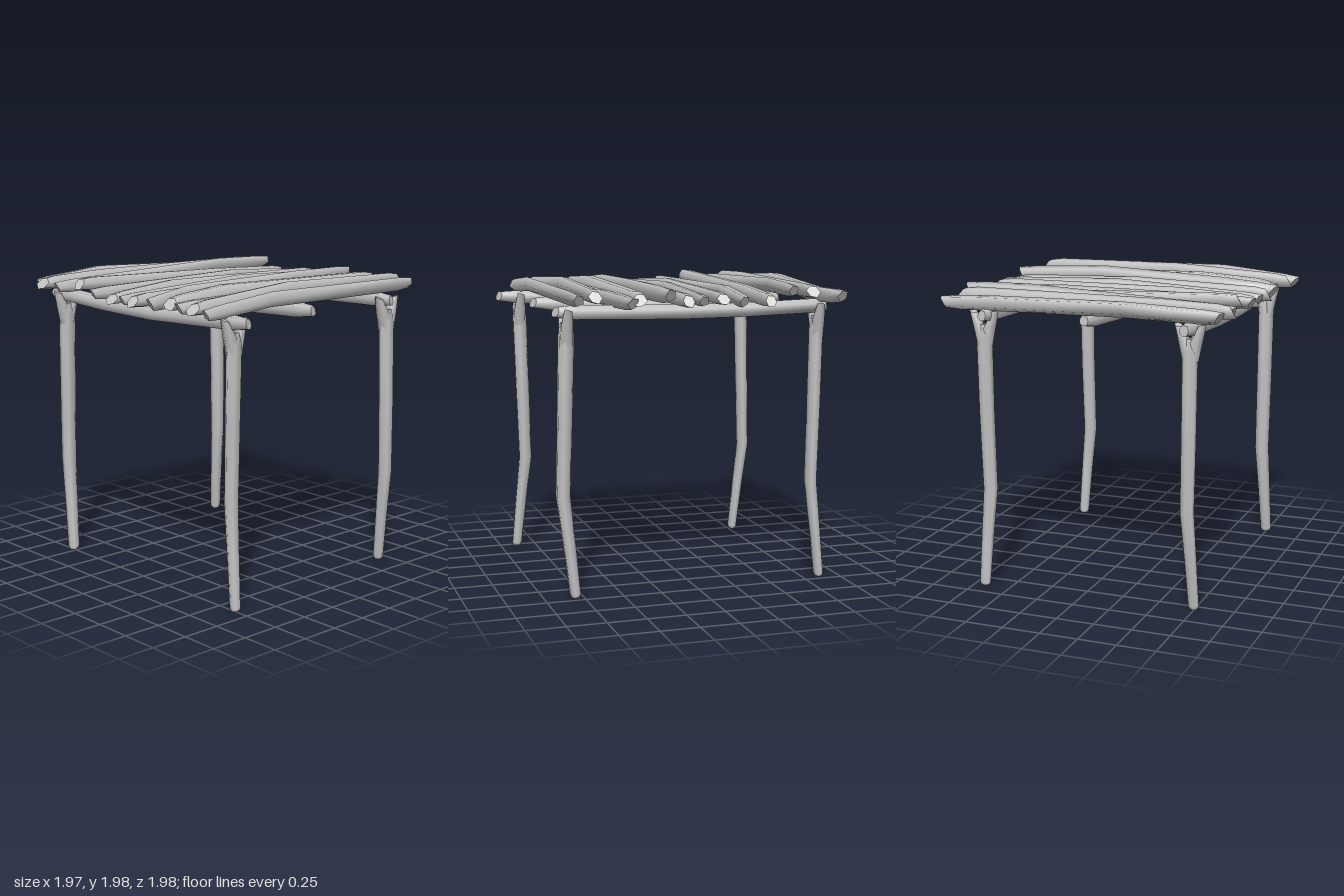
import * as THREE from 'three';

const wood = new THREE.MeshStandardMaterial({ color: 0xc2c2c2 });
wood.name = 'weathered wood';

// Rough pole through [x, y, z, radius] stations running in the + direction of axis (0 x, 1 y, 2 z).
// slant tilts the cut at the start and end; flat squeezes the pole across.
function pole(name, axis, stations, slant, sides, flat = 1) {
  const u = (axis + 1) % 3, v = (axis + 2) % 3;
  const pos = [], index = [], last = stations.length - 1;
  const ring = (i) => {
    const s = stations[i], pts = [];
    const tilt = i === 0 ? slant[0] : i === last ? slant[1] : 0;
    for (let j = 0; j < sides; j++) {
      const a = (j / sides) * Math.PI * 2 + 0.4;
      const r = s[3] * (1 + 0.1 * Math.sin(j * 2.3 + stations[0][2] * 9));
      const du = Math.cos(a) * r, dv = Math.sin(a) * r;
      const p = s.slice(0, 3);
      p[u] += axis === 1 ? du * flat : du;
      p[v] += axis === 2 ? dv * flat : dv;
      p[axis] += tilt * (du + 0.6 * dv);
      pts.push(p);
    }
    return pts;
  };
  // Smooth bark
  stations.forEach((s, i) => ring(i).forEach((p) => pos.push(...p)));
  for (let i = 0; i < last; i++) {
    for (let j = 0; j < sides; j++) {
      const a = i * sides + j, b = i * sides + (j + 1) % sides;
      index.push(a, b, a + sides, b, b + sides, a + sides);
    }
  }
  // Sharp cut ends with their own corners
  for (const i of [0, last]) {
    const c = pos.length / 3;
    pos.push(...stations[i].slice(0, 3));
    ring(i).forEach((p) => pos.push(...p));
    for (let j = 0; j < sides; j++) {
      const a = c + 1 + j, b = c + 1 + (j + 1) % sides;
      if (i) index.push(c, a, b); else index.push(c, b, a);
    }
  }
  const g = new THREE.BufferGeometry();
  g.setAttribute('position', new THREE.Float32BufferAttribute(pos, 3));
  g.setIndex(index);
  g.computeVertexNormals();
  const mesh = new THREE.Mesh(g, wood);
  mesh.name = name;
  return mesh;
}

// Crooked post that splits into two prongs holding a beam
function forkedPost(name, [x0, x1, x2], [z0, z1, z2]) {
  const post = new THREE.Group();
  post.name = name;
  post.add(pole('trunk', 1, [
    [x0, 0, z0, 0.028], [x0, 0.02, z0, 0.038], [(x0 + x1) / 2, 0.35, (z0 + z1) / 2, 0.043],
    [x1, 0.65, z1, 0.049], [x2, 1.15, (z1 + z2) / 2, 0.052], [x2, 1.66, z2, 0.054], [x2, 1.74, z2, 0.035],
  ], [0, 0], 7, 0.88));
  for (const s of [-1, 1]) {
    post.add(pole('prong', 1, [
      [x2 + s * 0.01, 1.6, z2, 0.042], [x2 + s * 0.035, 1.72, z2, 0.042], [x2 + s * 0.075, 1.82, z2, 0.026],
    ], [0, s * 0.3], 6));
  }
  return post;
}

// Sagging beam along z
function beam(name, x, drift, zBack, zFront, sag) {
  const stations = [0, 0.05, 0.3, 0.55, 0.93, 1].map((t, i, all) => {
    const end = i === 0 || i === all.length - 1;
    return [x + drift * t, 1.805 - sag * Math.sin(Math.PI * t), zBack + (zFront - zBack) * t, end ? 0.038 : 0.055];
  });
  return pole(name, 2, stations, [0.4, -0.4], 7, 0.85);
}

// Roof slats: shift in x, radius, z of both ends, y of both ends, then x, y, z of one or two bends
const slats = [
  [0, 0.054, -0.87, -0.9, 1.88, 1.88, -0.33, 1.91, -0.94, 0.58, 1.88, -0.845],
  [-0.05, 0.054, -0.76, -0.72, 1.9, 1.91, -0.5, 1.91, -0.765],
  [-0.01, 0.05, -0.655, -0.57, 1.88, 1.92, 0.45, 1.925, -0.605],
  [0.01, 0.047, -0.435, -0.41, 1.92, 1.86, 0.28, 1.88, -0.465],
  [-0.02, 0.047, -0.26, -0.245, 1.88, 1.86, 0.35, 1.89, -0.3],
  [0, 0.05, -0.085, -0.1, 1.86, 1.88, -0.36, 1.89, -0.145],
  [0.01, 0.046, 0.005, 0.03, 1.86, 1.87, 0.1, 1.9, 0.01],
  [-0.015, 0.049, 0.145, 0.12, 1.87, 1.87, 0, 1.89, 0.15],
  [-0.005, 0.055, 0.3, 0.24, 1.87, 1.91, -0.58, 1.9, 0.245, 0.31, 1.925, 0.32],
  [0.04, 0.055, 0.44, 0.45, 1.88, 1.89, -0.4, 1.91, 0.415],
  [0.05, 0.05, 0.505, 0.495, 1.86, 1.87, 0.42, 1.88, 0.55],
  [-0.005, 0.053, 0.7, 0.715, 1.88, 1.91, -0.1, 1.925, 0.66],
  [-0.015, 0.05, 0.825, 0.815, 1.86, 1.89, -0.4, 1.905, 0.825],
];

// Slat with a blunt shoulder just inside each cut end
function slat([shift, r, z0, z1, y0, y1, ...bends], i) {
  const middle = [];
  for (let k = 0; k < bends.length; k += 3) middle.push([...bends.slice(k, k + 3), r]);
  const start = [shift - 0.91, y0, z0, r * 0.74], end = [shift + 0.91, y1, z1, r * 0.74];
  const shoulder = (tip, bend) => {
    const t = 0.1 / Math.abs(bend[0] - tip[0]);
    return [...[0, 1, 2].map((n) => tip[n] + (bend[n] - tip[n]) * t), r * 0.93];
  };
  const stations = [start, shoulder(start, middle[0]), ...middle, shoulder(end, middle.at(-1)), end];
  const turn = i % 2 ? 1 : -1;
  return pole('slat', 0, stations, [0.6 * turn, -0.5 * turn], 5 + (i % 2));
}

export function createModel() {
  const model = new THREE.Group();
  model.name = 'rustic pergola';

  // Posts
  const right = [-0.74, -0.713, -0.715], left = [0.68, 0.652, 0.66];
  model.add(
    forkedPost('frontRightPost', right, [0.88, 0.815, 0.84]),
    forkedPost('frontLeftPost', left, [0.802, 0.868, 0.84]),
    forkedPost('backRightPost', right, [-0.785, -0.853, -0.83]),
    forkedPost('backLeftPost', left, [-0.868, -0.812, -0.83]),
  );

  // Beams
  const beams = new THREE.Group();
  beams.name = 'beams';
  beams.add(
    beam('rightBeam', -0.712, -0.012, -0.945, 0.98, 0.035),
    beam('leftBeam', 0.64, 0, -0.91, 0.9, 0.02),
    beam('middleBeam', -0.03, -0.045, -0.85, 0.88, 0.035),
  );
  model.add(beams);

  // Slats
  const roof = new THREE.Group();
  roof.name = 'roof slats';
  roof.add(...slats.map(slat));
  model.add(roof);
  return model;
}
